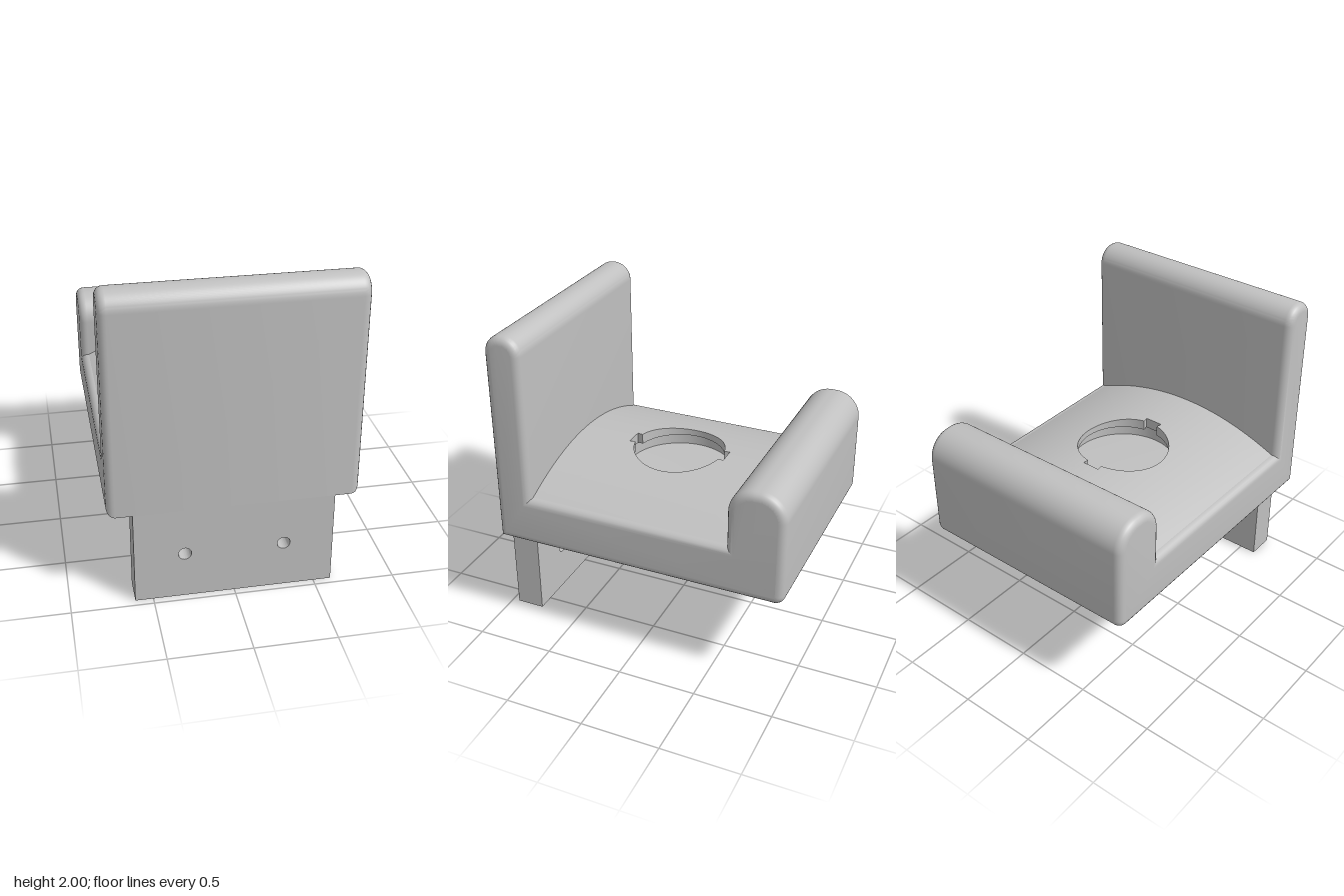
import * as THREE from 'three';
import { toCreasedNormals } from 'three/addons/utils/BufferGeometryUtils.js';

const W = 0.76, R = 0.05;            // half width, edge fillet
const BACK = -0.955, FRONT = 0.955;
const LIP_BACK = -0.59, PLATE_BACK = 0.715;
const BASE = 0.61, FLOOR = 0.93, CROWN = 1.09;

// Side profile (z, y) of the body, extruded across x with rounded edges
function bodyGeometry() {
  const s = new THREE.Shape();
  const rb = 0.06, rl = 0.168, rp = 0.115;
  s.moveTo(FRONT, BASE);
  s.lineTo(FRONT, 2 - rp);
  s.absarc(FRONT - rp, 2 - rp, rp, 0, Math.PI / 2, false);
  s.absarc(PLATE_BACK + rp, 2 - rp, rp, Math.PI / 2, Math.PI, false);
  s.lineTo(PLATE_BACK, FLOOR);
  s.lineTo(LIP_BACK, FLOOR);
  s.lineTo(LIP_BACK, 1.335 - rl);
  s.absarc(LIP_BACK - rl, 1.335 - rl, rl, 0, Math.PI / 2, false);
  s.absarc(BACK + rl, 1.335 - rl, rl, Math.PI / 2, Math.PI, false);
  s.lineTo(BACK, BASE + rb);
  s.absarc(BACK + rb, BASE + rb, rb, Math.PI, Math.PI * 1.5, false);
  s.closePath();
  const g = new THREE.ExtrudeGeometry(s, {
    depth: 2 * (W - R), bevelEnabled: true, bevelThickness: R,
    bevelSize: R, bevelOffset: -R, bevelSegments: 5, curveSegments: 10,
  });
  g.translate(0, 0, -(W - R));
  g.rotateY(-Math.PI / 2);
  return toCreasedNormals(g, 0.6);
}

// Crowned seat around a round socket with two notches and an undercut
function seatGeometry() {
  const cz = 0.03, r = 0.295, notchR = 0.327, underR = 0.345, underY = 1.02;
  const hx = W - R, z0 = LIP_BACK - 0.01, z1 = PLATE_BACK + 0.01;
  const half = Math.asin(0.053 / r);
  const crown = (x) => CROWN - (CROWN - FLOOR) * (x / hx) ** 2;

  const angles = [];
  for (let i = 0; i < 96; i++) angles.push(-Math.PI + (i + 0.5) * Math.PI / 48);
  for (const x of [-hx, hx]) for (const z of [z0, z1]) angles.push(Math.atan2(z - cz, x));
  for (const m of [-Math.PI / 2, Math.PI / 2])
    for (const e of [-half, half]) angles.push(m + e - 1e-4, m + e + 1e-4);
  angles.sort((a, b) => a - b);

  const steps = 12, rows = steps + 4, pos = [], idx = [];
  for (const t of angles) {
    const c = Math.cos(t), s = Math.sin(t);
    const inNotch = Math.abs(Math.abs(t) - Math.PI / 2) < half;
    const inner = inNotch ? notchR / Math.abs(s) : r;
    const outer = Math.min(hx / Math.abs(c), (s > 0 ? z1 - cz : cz - z0) / Math.abs(s));
    const put = (d, y) => pos.push(d * c, y, cz + d * s);
    put(underR, FLOOR);
    put(underR, underY);
    put(inner, underY);
    for (let k = 0; k <= steps; k++) {
      const d = inner + (outer - inner) * k / steps;
      put(d, crown(d * c));
    }
  }
  const n = angles.length;
  for (let i = 0; i < n; i++) for (let j = 0; j < rows - 1; j++) {
    const a = i * rows + j, b = ((i + 1) % n) * rows + j;
    idx.push(a, b, a + 1, b, b + 1, a + 1);
  }
  const g = new THREE.BufferGeometry();
  g.setAttribute('position', new THREE.Float32BufferAttribute(pos, 3));
  g.setIndex(idx);
  return toCreasedNormals(g, 0.5);
}

// One layer of the mounting tab, with screw holes and an optional bottom slot
function tabLayer(zFrom, zTo, slot) {
  const h = 0.61, s = new THREE.Shape();
  s.moveTo(-h, 0);
  if (slot) {
    s.lineTo(-0.12, 0);
    s.lineTo(-0.12, 0.5);
    s.lineTo(0.12, 0.5);
    s.lineTo(0.12, 0);
  }
  s.lineTo(h, 0);
  s.lineTo(h, BASE);
  s.lineTo(-h, BASE);
  s.closePath();
  for (const x of [-0.303, 0.303]) {
    const hole = new THREE.Path();
    hole.absarc(x, 0.305, 0.04, 0, Math.PI * 2, true);
    s.holes.push(hole);
  }
  const g = new THREE.ExtrudeGeometry(s, { depth: zTo - zFrom, bevelEnabled: false, curveSegments: 24 });
  g.translate(0, 0, zFrom);
  return toCreasedNormals(g, 0.6);
}

export function createModel() {
  const model = new THREE.Group();
  model.name = 'dockStand';
  const grey = new THREE.MeshStandardMaterial({ color: 0xc0c0c0 });
  grey.name = 'light grey plastic';

  const add = (parent, name, geometry) => {
    const mesh = new THREE.Mesh(geometry, grey);
    mesh.name = name;
    parent.add(mesh);
  };

  add(model, 'body', bodyGeometry());
  add(model, 'crownedSeat', seatGeometry());

  const tab = new THREE.Group();
  tab.name = 'mountingTab';
  add(tab, 'tabBack', tabLayer(0.775, 0.82, false));
  add(tab, 'tabCore', tabLayer(0.82, 0.91, true));
  add(tab, 'tabFront', tabLayer(0.91, FRONT, false));
  model.add(tab);

  return model;
}
